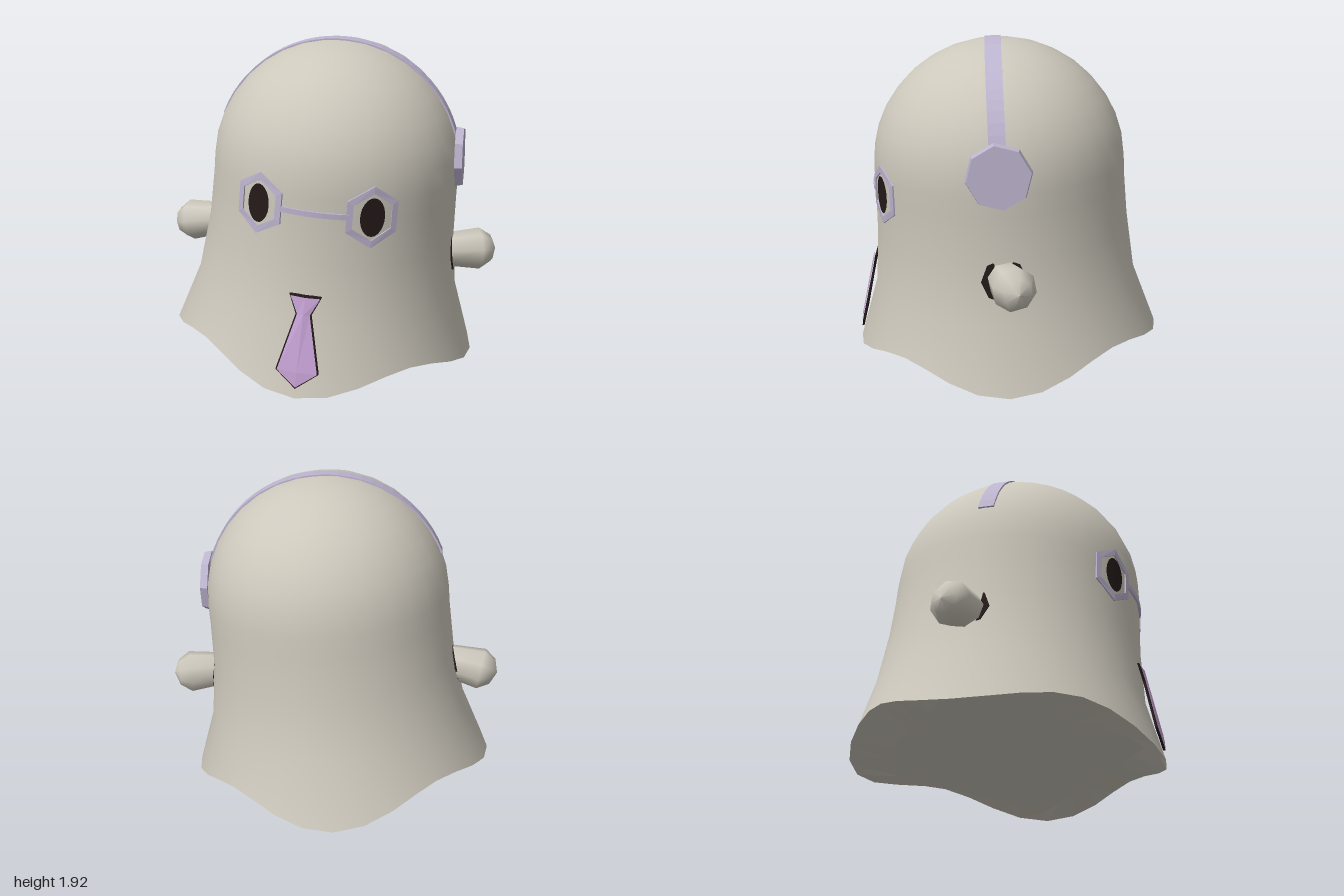
import * as THREE from 'three';

const mat = (name, color) => {
  const m = new THREE.MeshStandardMaterial({ color });
  m.name = name;
  return m;
};

export function createModel() {
  const sheet = mat('sheet grey', 0xcdc8bc);
  const lavender = mat('lavender', 0xbdb4cf);
  const purple = mat('tie purple', 0xc4a1d3);
  const dark = mat('near black', 0x241a19);
  sheet.side = THREE.DoubleSide;

  const model = new THREE.Group();
  model.name = 'ghost';
  // everything leans a little to its left and forward
  const ghost = new THREE.Group();
  ghost.name = 'leaningGhost';
  ghost.position.set(-0.05, 0.08, 0);
  ghost.rotation.set(0.05, 0, -0.085);
  model.add(ghost);

  const add = (name, geo, material, parent = ghost) => {
    const m = new THREE.Mesh(geo, material);
    m.name = name;
    parent.add(m);
    return m;
  };
  const V2 = (x, y) => new THREE.Vector2(x, y);

  // body: flared skirt, straight sides and round head, slightly deeper than wide
  const SEG = 32, DOME_R = 0.727, DOME_Y = 1.115, DEEP = 1.03;
  const profile = [V2(0.92, 0), V2(0.79, 0.38), V2(0.74, 0.73), V2(0.728, 1.0)];
  for (let i = 0; i <= 9; i++) {
    const a = (i / 9) * Math.PI / 2;
    profile.push(V2(Math.max(0, DOME_R * Math.cos(a)), DOME_Y + DOME_R * Math.sin(a)));
  }
  const bodyGeo = new THREE.LatheGeometry(profile, SEG);
  const p = bodyGeo.attributes.position;
  // hem dips at the four sides and lifts between them
  const hemPoint = (a) => {
    const c = Math.cos(4 * a), r = 0.887 + 0.038 * c;
    return [r * Math.sin(a), 0.06 * (1 - c), r * Math.cos(a)];
  };
  for (let i = 0; i < p.count; i++) {
    const row = i % profile.length, s = (i - row) / profile.length;
    if (row === 0) p.setXYZ(i, ...hemPoint((s / SEG) * Math.PI * 2));
    else p.setZ(i, p.getZ(i) * (row === 1 ? 1.01 : DEEP));
  }
  add('body', bodyGeo, sheet);

  // underside: flat diamond just inside the hem, joined to it by sloping lips
  const ceiling = (x, z) => [x, 0.07 + 0.045 * (z - x), z];
  const pos = [], idx = [], centre = SEG * 2;
  for (let s = 0; s < SEG; s++) {
    const a = (s / SEG) * Math.PI * 2, sin = Math.sin(a), cos = Math.cos(a);
    const r = 0.85 / (Math.abs(sin) + Math.abs(cos));
    pos.push(...hemPoint(a), ...ceiling(r * sin, r * cos));
    const h0 = s * 2, h1 = ((s + 1) % SEG) * 2;
    idx.push(h0, h0 + 1, h1, h1, h0 + 1, h1 + 1, centre, h1 + 1, h0 + 1);
  }
  pos.push(...ceiling(0, 0));
  const under = new THREE.BufferGeometry();
  under.setAttribute('position', new THREE.Float32BufferAttribute(pos, 3));
  under.setIndex(idx);
  const underFlat = under.toNonIndexed();
  underFlat.computeVertexNormals();
  add('underside', underFlat, sheet);

  // stubby arms with a dark ring where they meet the body
  const up = new THREE.Vector3(0, 1, 0);
  const armGeo = new THREE.LatheGeometry(
    [V2(0.1, 0), V2(0.126, 0.21), V2(0.08, 0.28), V2(0, 0.31)], 8);
  const ringGeo = new THREE.CylinderGeometry(0.128, 0.128, 0.03, 8);
  for (const [side, slope, back, z] of [[1, 0.07, -0.27, 0], [-1, -0.26, -0.17, -0.03]]) {
    const name = side > 0 ? 'left' : 'right';
    const arm = add(name + 'Arm', armGeo, sheet);
    arm.position.set(side * 0.7, 0.63, z);
    arm.quaternion.setFromUnitVectors(up, new THREE.Vector3(side, slope, back).normalize());
    const ring = add(name + 'ArmRing', ringGeo, dark);
    ring.position.set(side * 0.735, 0.63, z);
    ring.quaternion.setFromUnitVectors(up, new THREE.Vector3(side, 0.15, 0).normalize());
  }

  // glasses and eyes, wrapped round the face
  const wrap = (geo) => {
    const q = geo.attributes.position;
    for (let i = 0; i < q.count; i++) {
      q.setZ(i, q.getZ(i) + Math.sqrt(DOME_R ** 2 - q.getX(i) ** 2) - DOME_R);
    }
    geo.computeVertexNormals();
    return geo.rotateX(-0.03);
  };
  const hexagon = (r, Type) => {
    const pts = [];
    for (let i = 0; i < 6; i++) {
      const a = Math.PI / 2 + (i * Math.PI) / 3;
      pts.push(V2(0.96 * r * Math.cos(a), r * Math.sin(a)));
    }
    return new Type(pts);
  };
  const frame = hexagon(0.175, THREE.Shape);
  frame.holes.push(hexagon(0.133, THREE.Path));
  const frameGeo = wrap(new THREE.ExtrudeGeometry(frame, { depth: 0.009, bevelEnabled: false }));
  const eyeGeo = wrap(new THREE.CircleGeometry(1, 24).scale(0.071, 0.11, 1));
  for (const side of [1, -1]) {
    const a = side * 0.445;
    const g = new THREE.Group();
    g.name = side > 0 ? 'leftEye' : 'rightEye';
    g.position.set(0.728 * Math.sin(a), 1.025, 0.728 * DEEP * Math.cos(a));
    g.rotation.y = side * 0.457;
    ghost.add(g);
    add('glassesFrame', frameGeo, lavender, g);
    add('pupil', eyeGeo, dark, g).position.z = 0.007;
  }

  // curved strips: arc in the xy plane with a given width
  const strip = (r0, r1, a0, a1, width, n) => {
    const s = new THREE.Shape();
    s.absarc(0, 0, r1, a0, a1, false);
    s.absarc(0, 0, r0, a1, a0, true);
    return new THREE.ExtrudeGeometry(s, { depth: width, bevelEnabled: false, curveSegments: n })
      .translate(0, 0, -width / 2);
  };
  add('glassesBridge', strip(0.725, 0.738, 1.31, Math.PI - 1.31, 0.03, 4)
    .rotateX(Math.PI / 2).scale(1, 1, DEEP), lavender).position.y = 1.025;
  add('headband', strip(0.7, 0.732, 0.27, 2.84, 0.094, 14), lavender).position.y = DOME_Y;

  // single ear pad on the left side, standing upright
  const padGeo = new THREE.CylinderGeometry(0.178, 0.187, 0.045, 8)
    .rotateY(0.1).rotateZ(-Math.PI / 2).toNonIndexed();
  padGeo.computeVertexNormals();
  const pad = add('earPad', padGeo, lavender);
  pad.position.set(0.722, 1.22, 0);
  pad.rotation.z = 0.085;

  // tie: creased front over a slightly larger dark backing
  const rows = [[0.083, 0.555], [0.036, 0.46], [0.113, 0.15], [0, 0.065]];
  const tieShape = (grow) => {
    const r = rows.map(([w, y], i) => [w ? w + grow : 0, y + (i === 0 ? grow : i === 3 ? -grow : 0)]);
    return new THREE.Shape([...r.map(([w, y]) => V2(-w, y)),
      ...r.slice(0, 3).reverse().map(([w, y]) => V2(w, y))]);
  };
  const lean = (geo) => { // slope the plate along the skirt
    const q = geo.attributes.position;
    for (let i = 0; i < q.count; i++) q.setZ(i, q.getZ(i) + 0.937 - 0.265 * q.getY(i));
    geo.computeVertexNormals();
    return geo;
  };
  add('tieOutline', lean(new THREE.ExtrudeGeometry(tieShape(0.008),
    { depth: 0.012, bevelEnabled: false }).translate(0, 0, -0.013)), dark);
  const tiePos = [], tieIdx = [];
  rows.forEach(([w, y], i) => {
    const ridge = i === 3 ? 0.002 : 0.012;
    tiePos.push(-w, y, 0.002, 0, y, ridge, w, y, 0.002);
    if (i < 3) {
      const a = i * 3;
      for (const k of [a, a + 1]) tieIdx.push(k, k + 3, k + 1, k + 1, k + 3, k + 4);
    }
  });
  const tie = new THREE.BufferGeometry();
  tie.setAttribute('position', new THREE.Float32BufferAttribute(tiePos, 3));
  tie.setIndex(tieIdx);
  add('tie', lean(tie.toNonIndexed()), purple);

  return model;
}
